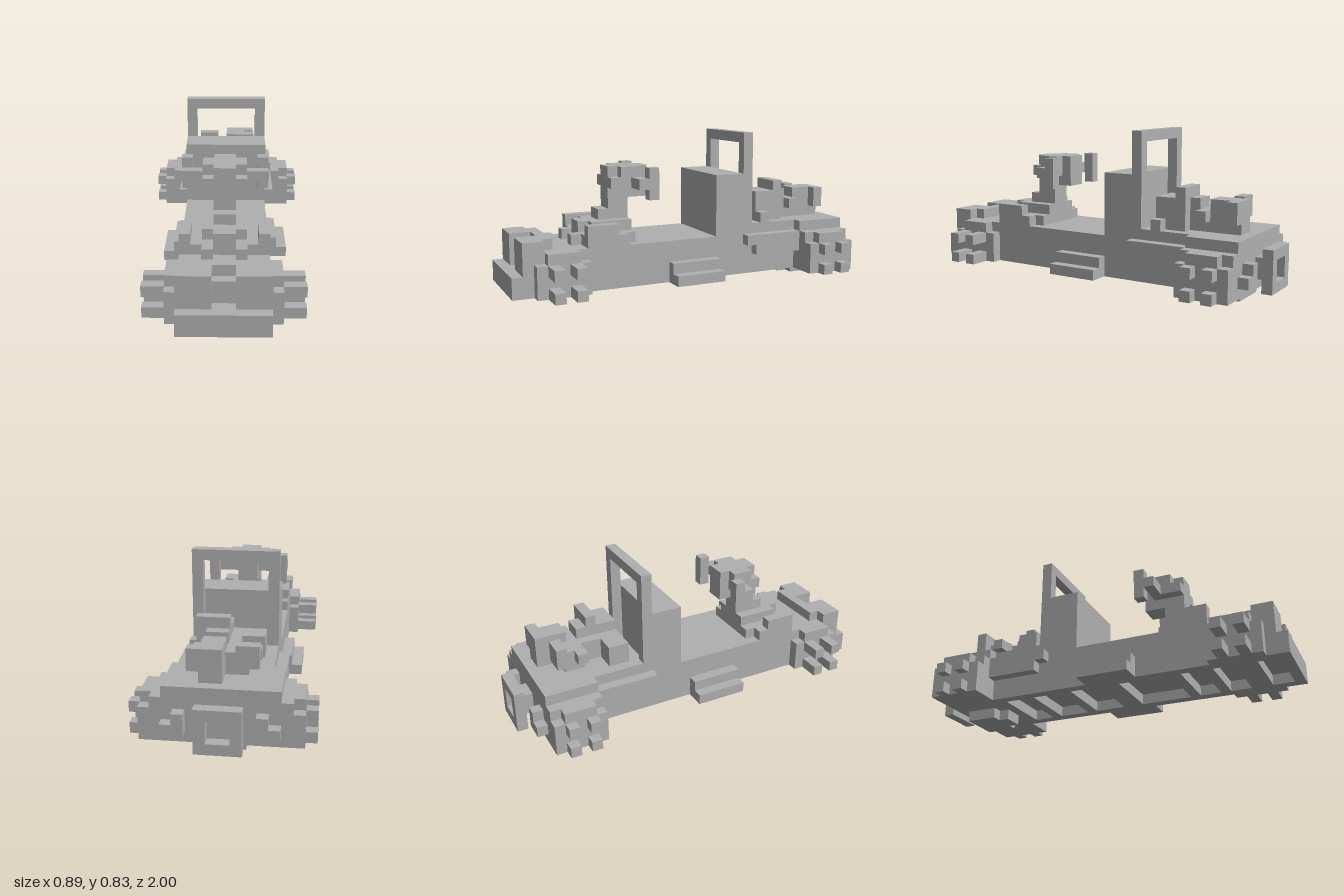
import * as THREE from 'three';

// The model is laid out in whole blocks, 36 blocks long
const UNIT = 1 / 18;
const grey = new THREE.MeshStandardMaterial({ color: 0xb0b0b0 });
grey.name = 'grey';

export function createModel() {
  const model = new THREE.Group();
  model.name = 'blockBuggy';

  // One box from its limits in blocks
  function box(name, x0, x1, y0, y1, z0, z1) {
    const g = new THREE.BoxGeometry((x1 - x0) * UNIT, (y1 - y0) * UNIT, (z1 - z0) * UNIT);
    const m = new THREE.Mesh(g, grey);
    m.position.set((x0 + x1) / 2 * UNIT, (y0 + y1) / 2 * UNIT, (z0 + z1) / 2 * UNIT);
    m.name = name;
    model.add(m);
  }
  // The same box on both sides
  function pair(name, x0, x1, ...rest) {
    box(name + 'Left', x0, x1, ...rest);
    box(name + 'Right', -x1, -x0, ...rest);
  }

  // Hull, with side rails and cross bars that leave shallow pits underneath
  box('hull', -4, 4, 2, 5, -16, 16);
  pair('bottomRail', 3, 4, 1, 2, -16, 17);
  const pits = [[-10, -8], [-7, -4], [-3, 0], [2, 7], [8, 10], [11, 13], [15, 17]];
  let start = -16;
  for (const [a, b] of pits) {
    box('crossBar', -3, 3, 1, 2, start, a);
    start = b;
  }
  box('keel', -2, 2, 0, 1, -15, -12);
  box('keelTip', -1, 1, 0, 1, -12, -11);

  // Stepped running boards, set at different places on each side
  for (const [s, z0, z1] of [[1, -2, 3], [-1, -1, 4]]) {
    for (const [w, h] of [[5, 3], [6, 2]]) {
      box('runningBoard', Math.min(4 * s, w * s), Math.max(4 * s, w * s), 1, h, z0, z1);
    }
  }

  // Nose
  box('bumper', -4, 4, 1, 3, 17, 18);
  box('bumperBase', -4, 4, 2, 3, 16, 17);
  pair('headlight', 1, 4, 3, 6, 15, 17);
  box('headlightBridge', -3, 3, 5, 6, 14, 15);

  // Front wheels
  pair('frontHub', 4, 5, 1, 4, 11, 16);
  pair('frontHubTop', 4, 5, 4, 5, 12, 15);
  for (const y of [1, 3]) {
    for (const z of [12, 14]) pair('frontSpoke', 5, 7, y, y + 1, z, z + 1);
  }

  // Dashboard
  box('dash', -4, 4, 5, 6, 8, 11);
  box('dashBack', -3, 3, 5, 6, 6, 8);
  pair('dashSideLow', 3, 4, 5, 6, 7, 8);
  pair('dashSide', 3, 4, 6, 7, 8, 11);
  box('dashTop', -2, 2, 6, 7, 6, 10);
  box('dashNose', -1, 1, 6, 7, 10, 11);
  pair('dashTooth', 1, 2, 5, 6, 11, 12);

  // Steering column and handlebars
  box('steeringColumn', -1, 1, 7, 12, 6, 8);
  box('columnNose', -1, 1, 7, 8, 8, 9);
  box('steeringHead', -1, 1, 9, 12, 4, 6);
  box('steeringBlock', -2, 2, 10, 12, 5, 7);
  pair('steeringStud', 1, 2, 10, 11, 7, 8);
  box('handlebar', -4, 4, 10, 11, 5, 6);
  pair('grip', 3, 4, 9, 12, 4, 5);

  // Seat and roll bar
  box('seat', -4, 4, 5, 11, -5, -2);
  pair('rollBarPost', 3, 4, 5, 14, -6, -5);
  box('rollBarTop', -4, 4, 14, 15, -6, -5);

  // Rear deck and stepped fenders
  box('rearDeck', -4, 4, 5, 6, -16, -6);
  box('rearBody', -5, 5, 1, 6, -16, -11);
  pair('fender', 4, 5, 4, 5, -11, -5);
  pair('fenderLow', 4, 5, 3, 4, -11, -6);

  // Rear wheels
  pair('rearWheel', 5, 6, 1, 5, -16, -11);
  pair('rearWheelFace', 6, 7, 1, 4, -16, -11);
  pair('rearWheelTop', 6, 7, 4, 5, -15, -12);
  for (const y of [1, 3]) {
    for (const z of [-13, -15]) pair('rearStud', 7, 8, y, y + 1, z, z + 1);
  }

  // Engine blocks
  box('engineFrontRight', -3, 0, 6, 8, -9, -7);
  box('engineFrontLeft', 0, 3, 6, 9, -9, -7);
  box('engineSide', 3, 4, 6, 7, -8, -7);
  box('engineRidge', 0, 3, 6, 10, -10, -9);
  box('engineMiddle', -1, 2, 6, 8, -12, -9);
  box('engineMiddleTop', 0, 2, 8, 9, -11, -10);
  box('engineCore', 0, 2, 6, 9, -15, -12);
  box('engineLegFront', 0, 3, 7, 8, -12, -11);
  box('engineLegBack', 2, 3, 7, 9, -15, -14);
  box('engineRightBack', -3, -1, 7, 9, -14, -13);
  box('engineRightCore', -2, 0, 6, 8, -13, -11);
  box('engineRightStud', -3, -2, 7, 8, -12, -11);

  // Tail lights and the square tail plate
  pair('tailLight', 3, 4, 2, 4, -17, -16);
  pair('tailLightFoot', 4, 5, 2, 3, -17, -16);
  box('tailStub', -1, 1, 2, 4, -17, -16);
  pair('tailPlateSide', 1, 2, 1, 5, -18, -17);
  box('tailPlateTop', -1, 1, 4, 5, -18, -17);
  box('tailPlateBottom', -1, 1, 1, 2, -18, -17);

  return model;
}
